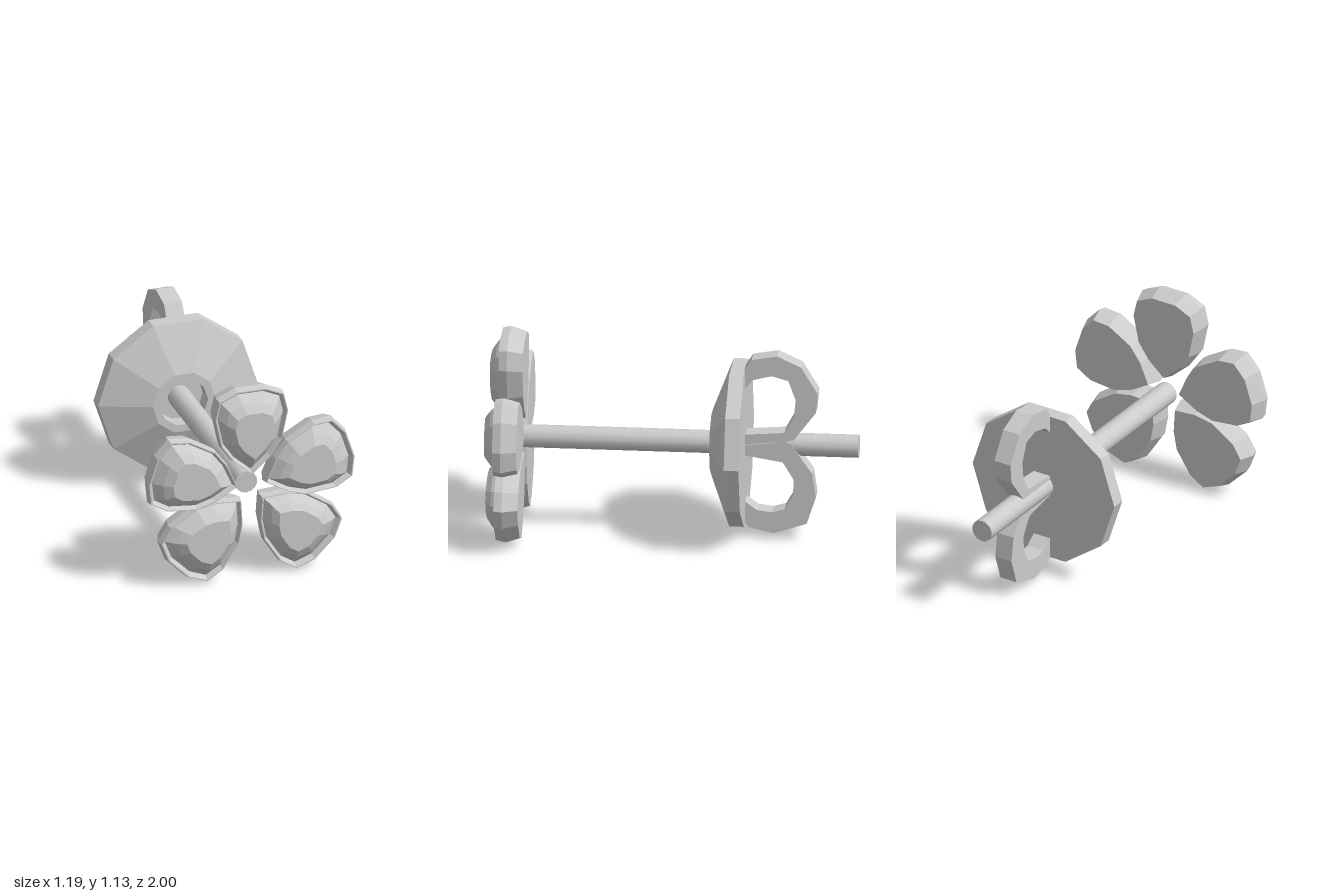
import * as THREE from 'three';

const CX = 0.005, CY = 0.555; // axis of the post
const material = new THREE.MeshStandardMaterial({ color: 0xcccccc, flatShading: true });
const smooth = new THREE.MeshStandardMaterial({ color: 0xcccccc });

// Half outline of a petal from its tip to its far edge, mirrored into a loop
const half = [[0.11, -0.165], [0.178, -0.067], [0.215, 0.106], [0.19, 0.213], [0.083, 0.261]];
const outline = [[0, -0.262], ...half, ...half.map(([x, y]) => [-x, y]).reverse()];

// Joins scaled copies of an outline, [scale, z] from back to front, and closes both ends
function loft(loop, rings) {
  const n = loop.length, pos = [], idx = [];
  for (const [s, z] of rings) for (const [x, y] of loop) pos.push(x * s, y * s, z);
  for (let r = 0; r < rings.length - 1; r++) {
    for (let i = 0; i < n; i++) {
      const a = r * n + i, b = r * n + (i + 1) % n;
      idx.push(a, b, b + n, a, b + n, a + n);
    }
  }
  const last = (rings.length - 1) * n, back = pos.length / 3;
  pos.push(0, 0, rings[0][1], 0, 0, rings[rings.length - 1][1]);
  for (let i = 0; i < n; i++) {
    const j = (i + 1) % n;
    idx.push(back, j, i, back + 1, last + i, last + j);
  }
  const g = new THREE.BufferGeometry();
  g.setAttribute('position', new THREE.Float32BufferAttribute(pos, 3));
  g.setIndex(idx);
  g.computeVertexNormals();
  return g;
}

function add(parent, name, geometry, mat = material) {
  const mesh = new THREE.Mesh(geometry, mat);
  mesh.name = name;
  parent.add(mesh);
  return mesh;
}

export function createModel() {
  const model = new THREE.Group();
  model.name = 'flowerStudEarring';

  // Petals: a bevelled setting with a raised rim and a domed, flat-topped stone
  const flower = new THREE.Group();
  flower.name = 'flower';
  flower.position.set(CX, CY, 0);
  model.add(flower);
  const setting = loft(outline, [[0.9, 0.815], [1, 0.9], [0.965, 0.945], [0.94, 0.945], [0.87, 0.915], [0.6, 0.915]]);
  const stone = loft(outline, [[0.87, 0.9], [0.87, 0.917], [0.7, 0.968], [0.52, 1]]);
  [0, 72, 135, -135, -72].forEach((degrees) => {
    const petal = new THREE.Group();
    petal.name = 'petal';
    petal.rotation.z = THREE.MathUtils.degToRad(degrees);
    flower.add(petal);
    add(petal, 'petalSetting', setting).position.y = 0.34;
    add(petal, 'petalStone', stone).position.y = 0.34;
  });

  // Post
  const post = new THREE.CylinderGeometry(0.063, 0.063, 1.85, 14).rotateX(Math.PI / 2);
  add(model, 'post', post, smooth).position.set(CX, CY, -0.075);

  // Ten-sided backing plate with a recess around the post
  const profile = [[0, -0.385], [0.457, -0.385], [0.457, -0.305], [0.18, -0.2], [0.137, -0.2], [0.137, -0.29], [0, -0.29]];
  const plate = new THREE.LatheGeometry(profile.map(([r, z]) => new THREE.Vector2(r, z)), 10, Math.PI / 2);
  add(model, 'backPlate', plate.rotateX(Math.PI / 2)).position.set(CX, CY, 0);

  // Two curled clips behind the plate, drawn as [distance back, height]
  const clips = {
    upperClip: [[0.34, 0.96], [0.38, 0.99], [0.42, 1.055], [0.56, 1.08], [0.69, 1.02], [0.78, 0.87], [0.77, 0.76],
      [0.65, 0.6], [0.61, 0.59], [0.34, 0.565], [0.34, 0.62], [0.6, 0.64], [0.65, 0.73], [0.66, 0.83],
      [0.62, 0.94], [0.53, 0.965], [0.43, 0.94], [0.34, 0.84]],
    lowerClip: [[0.34, 0.15], [0.38, 0.12], [0.41, 0.09], [0.54, 0.06], [0.72, 0.12], [0.77, 0.27], [0.75, 0.41],
      [0.63, 0.58], [0.6, 0.59], [0.34, 0.55], [0.34, 0.51], [0.59, 0.47], [0.65, 0.37], [0.645, 0.28],
      [0.6, 0.2], [0.53, 0.18], [0.45, 0.19], [0.34, 0.27]],
  };
  for (const [name, points] of Object.entries(clips)) {
    const shape = new THREE.Shape(points.map(([d, y]) => new THREE.Vector2(d, y)));
    const clip = new THREE.ExtrudeGeometry(shape, { depth: 0.104, bevelEnabled: false });
    add(model, name, clip.rotateY(Math.PI / 2)).position.x = -0.037;
  }
  return model;
}
